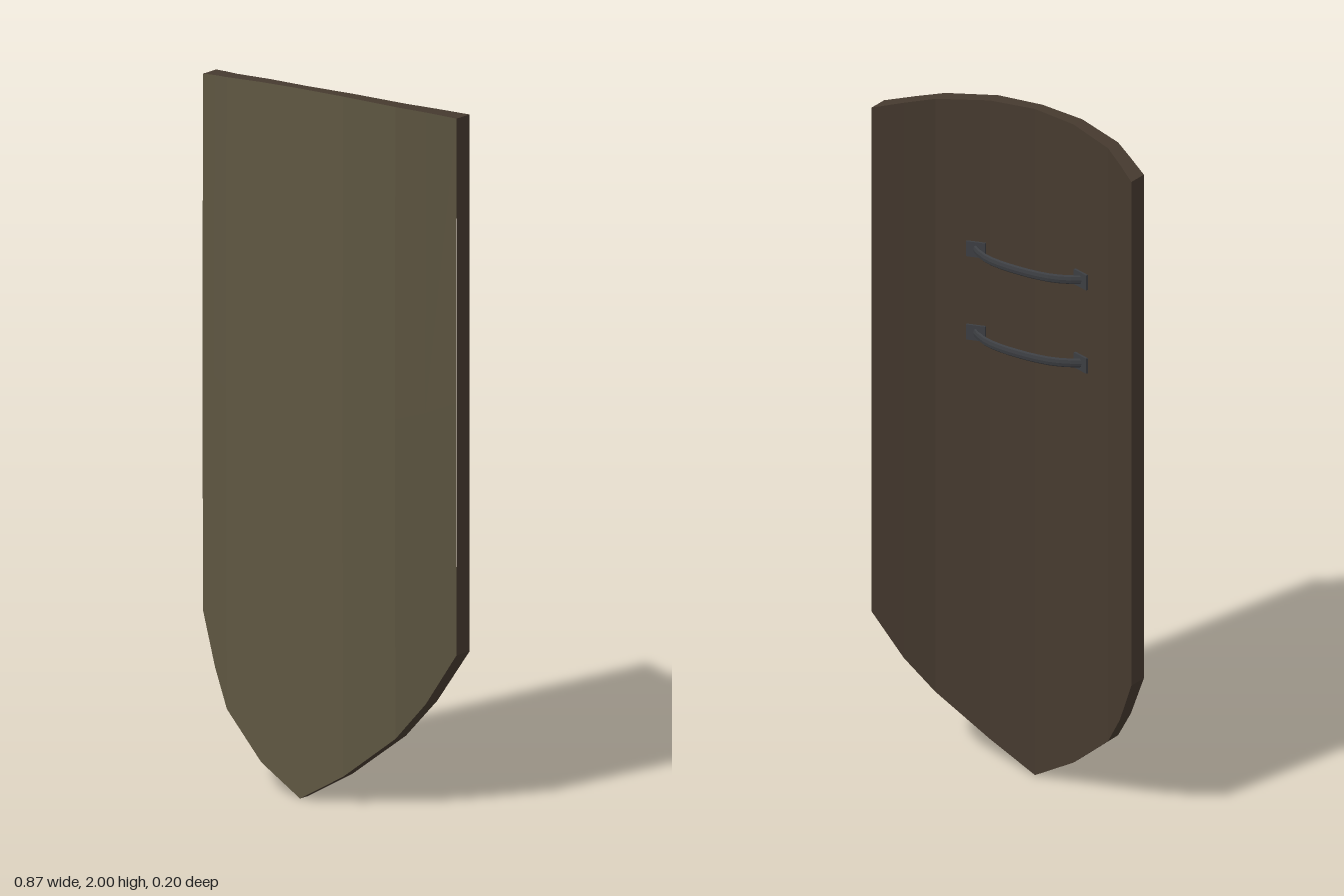
import * as THREE from 'three';
import { mergeGeometries } from 'three/addons/utils/BufferGeometryUtils.js';

const material = (color) => new THREE.MeshStandardMaterial({ color, flatShading: true });

// Half cross-section columns: x, front z, back z, bottom y, seam y, top y
const half = [
  [0, 0.096, 0.061, 0.0, 1.06, 2.0],
  [0.14, 0.086, 0.044, 0.08, 1.07, 1.996],
  [0.288, 0.045, -0.003, 0.2, 1.1, 1.98],
  [0.36, 0.003, -0.05, 0.3, 1.12, 1.967],
  [0.433, -0.04, -0.1, 0.44, 1.15, 1.952],
];
const columns = [...half.slice(1).reverse().map(([x, ...r]) => [-x, ...r]), ...half];

// Strip of quads between two polylines
function ribbon(a, b) {
  const p = [];
  for (let i = 0; i < a.length - 1; i++) {
    p.push(...a[i], ...a[i + 1], ...b[i + 1], ...a[i], ...b[i + 1], ...b[i]);
  }
  const g = new THREE.BufferGeometry();
  g.setAttribute('position', new THREE.Float32BufferAttribute(p, 3));
  g.computeVertexNormals();
  return g;
}

function createHandle(y, metal) {
  const handle = new THREE.Group();
  handle.name = 'handle';
  // Flattened curved grip
  const path = new THREE.CatmullRomCurve3(
    [[-0.18, 0.031], [-0.155, 0.014], [-0.11, -0.007], [-0.055, -0.017], [0, -0.019],
      [0.055, -0.017], [0.11, -0.007], [0.155, 0.014], [0.18, 0.031]]
      .map(([x, z]) => new THREE.Vector3(x, 0, z)));
  const grip = new THREE.Mesh(new THREE.TubeGeometry(path, 12, 0.006, 8).scale(1, 2.2, 1), metal);
  grip.name = 'grip';
  handle.add(grip);
  // Mounting plates lying on the inner face
  for (const s of [-1, 1]) {
    const plate = new THREE.Mesh(new THREE.BoxGeometry(0.055, 0.045, 0.008), metal);
    plate.name = 'mountingPlate';
    plate.position.set(s * 0.175, 0, 0.03);
    plate.rotation.y = s * 0.303;
    handle.add(plate);
  }
  handle.position.y = y;
  return handle;
}

export function createModel() {
  const model = new THREE.Group();
  model.name = 'shield';
  const wood = material(0x463a2f);
  const paint = material(0x5f5742);
  const metal = material(0x3c3e42);

  const bottomF = columns.map(([x, f, , b]) => [x, b, f]);
  const bottomB = columns.map(([x, , k, b]) => [x, b, k]);
  const seam = columns.map(([x, f, , , s]) => [x, s, f + 0.003]);
  const topF = columns.map(([x, f, , , , t]) => [x, t, f]);
  const topB = columns.map(([x, , k, , , t]) => [x, t, k]);
  const n = columns.length - 1;

  // Outer face, slightly bent along the seam
  const front = new THREE.Mesh(mergeGeometries([ribbon(bottomF, seam), ribbon(seam, topF)]), paint);
  front.name = 'outerFace';

  // Inner face and rim
  const back = new THREE.Mesh(ribbon(topB, bottomB), wood);
  back.name = 'innerFace';
  const rim = new THREE.Mesh(mergeGeometries([
    ribbon(topF, topB),
    ribbon(bottomB, bottomF),
    ribbon([bottomB[n], topB[n]], [bottomF[n], topF[n]]),
    ribbon([bottomF[0], topF[0]], [bottomB[0], topB[0]]),
  ]), wood);
  rim.name = 'rim';

  model.add(front, back, rim);
  for (const y of [1.295, 1.545]) model.add(createHandle(y, metal));
  return model;
}
